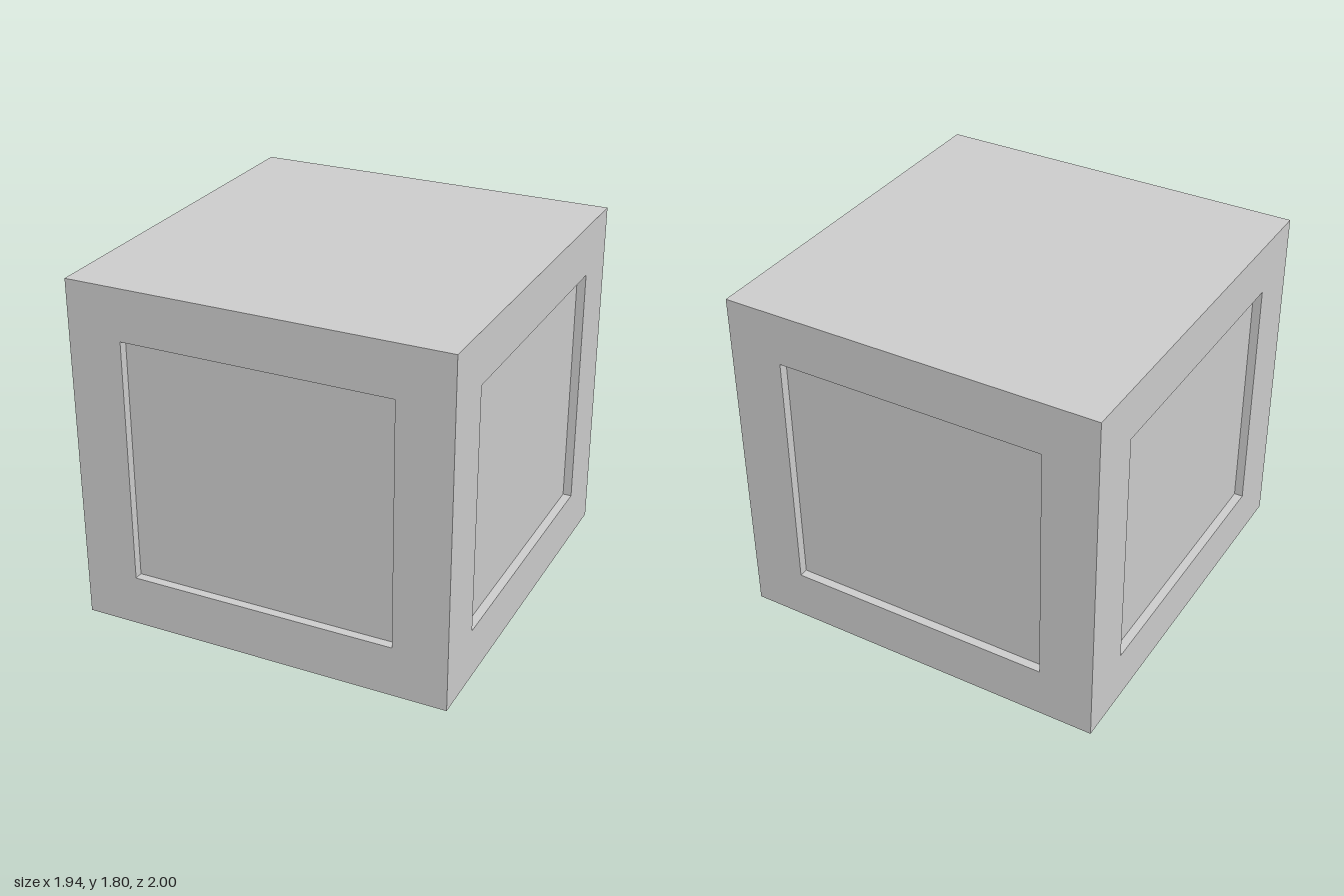
import * as THREE from 'three';
import { mergeGeometries } from 'three/addons/utils/BufferGeometryUtils.js';

const W = 1.94, H = 1.8, D = 2;   // overall size of the block
const PANEL_H = 1.27;             // height of every recessed panel
const DEPTH = 0.045;              // how far the panels are sunk

function rectangle(target, w, h) {
  return target.moveTo(-w / 2, -h / 2).lineTo(w / 2, -h / 2)
    .lineTo(w / 2, h / 2).lineTo(-w / 2, h / 2).closePath();
}

// Flat border with a rectangular opening, plus the sunken tray behind it, facing +z
function recessedSide(width, panelWidth) {
  const shape = rectangle(new THREE.Shape(), width, H);
  shape.holes.push(rectangle(new THREE.Path(), panelWidth, PANEL_H));
  const border = new THREE.ShapeGeometry(shape);

  // A box turned inside out, with its front face left off
  const tray = new THREE.BoxGeometry(panelWidth, PANEL_H, DEPTH).scale(-1, -1, -1);
  tray.setIndex(Array.from(tray.index.array).slice(0, 30));
  tray.computeVertexNormals();
  tray.translate(0, 0, -DEPTH / 2);

  return mergeGeometries([border, tray]);
}

export function createModel() {
  const group = new THREE.Group();
  group.name = 'panelledBlock';
  const material = new THREE.MeshStandardMaterial({ color: 0xcccccc, flatShading: true });

  const add = (name, geometry) => {
    const mesh = new THREE.Mesh(geometry, material);
    mesh.name = name;
    group.add(mesh);
  };

  // Four sides, each with a recessed panel
  ['front', 'left', 'back', 'right'].forEach((name, i) => {
    const onX = i % 2 === 1;
    const side = onX ? recessedSide(D, 1.42) : recessedSide(W, 1.38);
    side.translate(0, H / 2, (onX ? W : D) / 2).rotateY(i * Math.PI / 2);
    add(name + 'Side', side);
  });

  // Plain top and bottom
  add('top', new THREE.PlaneGeometry(W, D).rotateX(-Math.PI / 2).translate(0, H, 0));
  add('bottom', new THREE.PlaneGeometry(W, D).rotateX(Math.PI / 2));

  return group;
}
